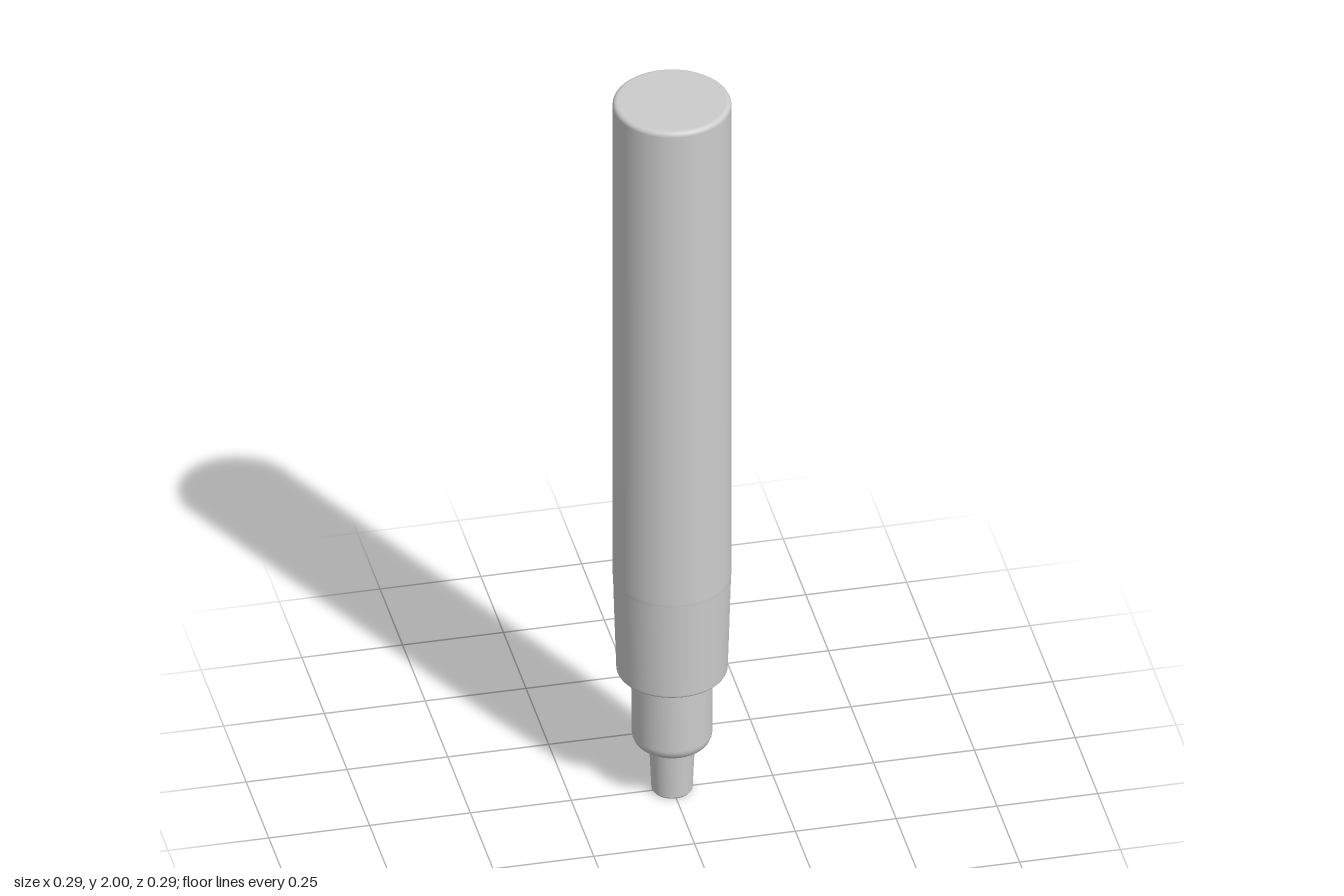
import * as THREE from 'three';

const grey = new THREE.MeshStandardMaterial({ color: 0xcccccc });
grey.name = 'lightGrey';

// Quarter-round profile points about a centre, from angle a to b in degrees
function arc(cx, cy, r, a, b, steps = 6) {
  return Array.from({ length: steps + 1 }, (_, i) => {
    const t = THREE.MathUtils.degToRad(a + (b - a) * i / steps);
    return [cx + r * Math.cos(t), cy + r * Math.sin(t)];
  });
}

// Each profile runs upward along the outside; separate profiles keep sharp edges
function turned(name, ...profiles) {
  const part = new THREE.Group();
  part.name = name;
  profiles.forEach((profile, i) => {
    const points = profile.map(([r, y]) => new THREE.Vector2(Math.max(r, 0), y));
    const mesh = new THREE.Mesh(new THREE.LatheGeometry(points, 72), grey);
    mesh.name = `${name}Surface${i + 1}`;
    part.add(mesh);
  });
  return part;
}

export function createModel() {
  const model = new THREE.Group();
  model.name = 'markerPen';

  // Hollow tip: bore ceiling, bore wall, bottom rim and tapered outside
  model.add(turned('tip',
    [[0, 0.1], [0.036, 0.1]],
    [[0.036, 0.1], [0.036, 0.004]],
    [[0.036, 0.004], [0.039, 0], [0.047, 0], [0.05, 0.004]],
    [[0.05, 0.004], [0.056, 0.137]],
  ));

  // Neck with a rounded lower shoulder
  model.add(turned('neck',
    [[0.05, 0.135], [0.064, 0.135]],
    [...arc(0.064, 0.169, 0.034, -90, 0), [0.098, 0.352]],
  ));

  // Grip tapering toward the neck, with a softened lower edge
  model.add(turned('grip',
    [[0.096, 0.348], [0.127, 0.348]],
    [...arc(0.127, 0.356, 0.008, -90, 0), [0.139, 0.48], [0.143, 0.62]],
  ));

  // Barrel with a rounded top edge and flat end
  model.add(turned('barrel',
    [[0.143, 0.62], [0.144, 0.63], [0.144, 1.988], ...arc(0.132, 1.988, 0.012, 0, 90)],
    [[0.132, 2], [0, 2]],
  ));

  return model;
}
